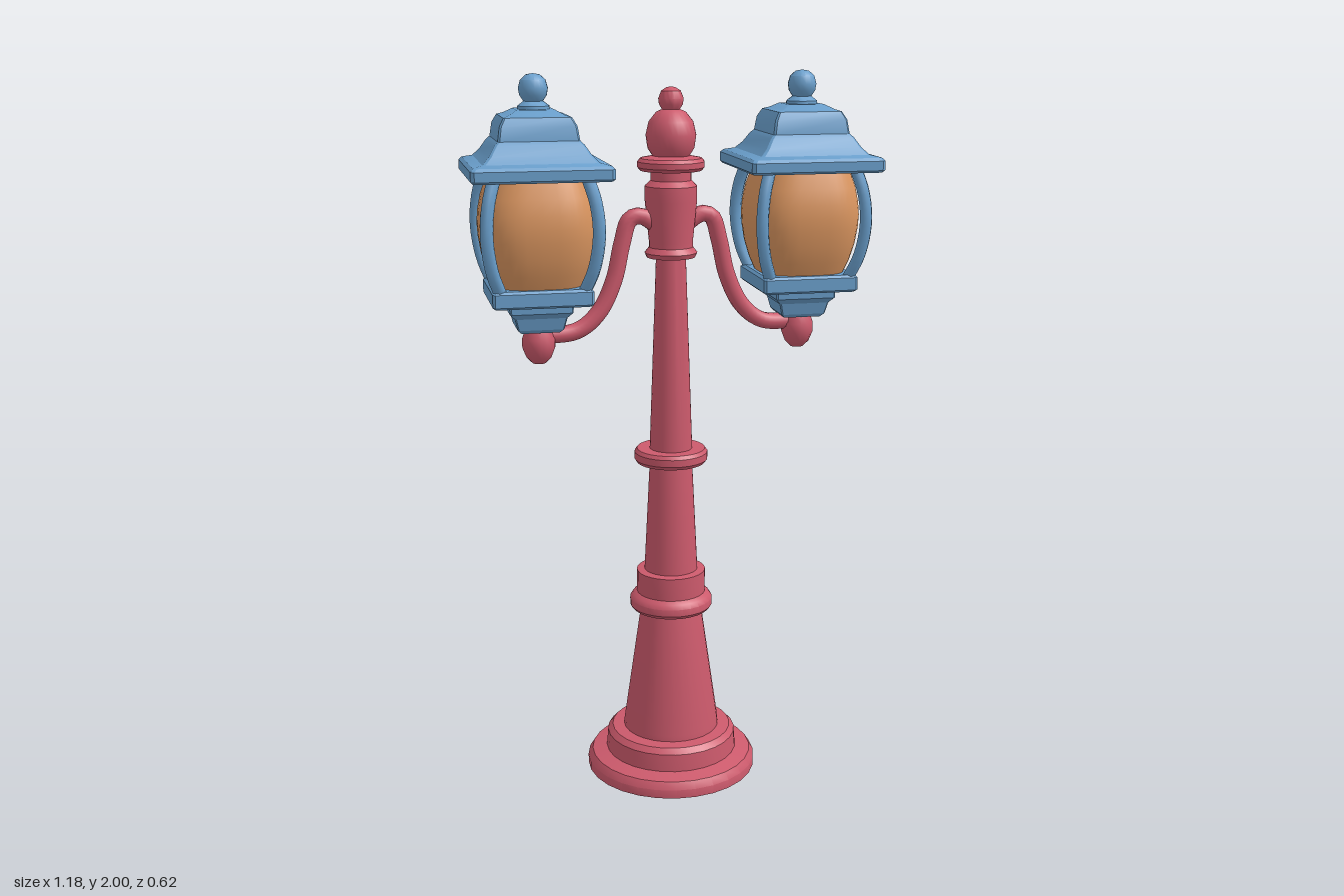
import * as THREE from 'three';
import { toCreasedNormals } from 'three/addons/utils/BufferGeometryUtils.js';

const V2 = (p) => new THREE.Vector2(p[0], p[1]);
const material = (name, color, side = THREE.FrontSide) => {
  const m = new THREE.MeshStandardMaterial({ color, side });
  m.name = name;
  return m;
};

function add(parent, name, geometry, mat) {
  const mesh = new THREE.Mesh(geometry, mat);
  mesh.name = name;
  parent.add(mesh);
  return mesh;
}

const lathe = (profile, segments) =>
  toCreasedNormals(new THREE.LatheGeometry(profile.map(V2), segments), 0.6);

// Stacks copies of a unit ring along a [halfWidth, y] profile, capped at both ends
function loft(ring, profile, crease) {
  const n = ring.length, pos = [], index = [];
  for (const [h, y] of profile) for (const [x, z] of ring) pos.push(x * h, y, z * h);
  const rows = profile.length;
  for (let r = 0; r < rows - 1; r++) {
    for (let i = 0; i < n; i++) {
      const a = r * n + i, b = r * n + (i + 1) % n;
      index.push(a, a + n, b, b, a + n, b + n);
    }
  }
  const last = (rows - 1) * n;
  for (let i = 1; i < n - 1; i++) {
    index.push(0, i, i + 1, last, last + i + 1, last + i);
  }
  const g = new THREE.BufferGeometry();
  g.setAttribute('position', new THREE.Float32BufferAttribute(pos, 3));
  g.setIndex(index);
  return toCreasedNormals(g, crease);
}

// Square with slightly clipped corners
const k = 0.95;
const square = [[1, -k], [1, k], [k, 1], [-k, 1], [-1, k], [-1, -k], [-k, -1], [k, -1]];

// Softly rounded square for the glass
const softSquare = Array.from({ length: 40 }, (_, i) => {
  const a = (i / 40) * Math.PI * 2;
  const c = Math.cos(a), s = Math.sin(a), e = 2 / 3;
  return [Math.sign(c) * Math.abs(c) ** e, Math.sign(s) * Math.abs(s) ** e];
});

export function createModel() {
  const red = material('rose paint', 0xcc5a6c, THREE.DoubleSide);
  const blue = material('blue paint', 0x6a9fcc);
  const amber = material('amber glass', 0xdb9660);
  const model = new THREE.Group();
  model.name = 'streetLamp';

  // Hollow turned post with its stepped foot, rings and top knob
  add(model, 'post', lathe([
    [0.245, 0], [0.245, 0.025], [0.232, 0.045], [0.19, 0.055], [0.186, 0.105], [0.172, 0.12],
    [0.138, 0.123], [0.137, 0.14], [0.087, 0.49], [0.11, 0.49], [0.118, 0.5], [0.118, 0.52],
    [0.11, 0.532], [0.098, 0.54], [0.098, 0.605], [0.076, 0.608], [0.06, 0.927], [0.096, 0.927],
    [0.103, 0.937], [0.103, 0.957], [0.096, 0.967], [0.06, 0.967], [0.041, 1.505], [0.066, 1.507],
    [0.072, 1.52], [0.06, 1.535], [0.06, 1.55], [0.071, 1.66], [0.071, 1.7], [0.055, 1.715],
    [0.055, 1.738], [0.083, 1.741], [0.091, 1.75], [0.091, 1.765], [0.083, 1.774], [0.05, 1.78],
    [0.063, 1.8], [0.068, 1.835], [0.06, 1.87], [0.04, 1.895], [0.024, 1.902], [0.032, 1.915],
    [0.034, 1.93], [0.026, 1.95], [0.012, 1.959], [0, 1.961],
  ], 28), red);

  const armPath = new THREE.CatmullRomCurve3([
    [0.04, 1.595], [0.088, 1.622], [0.117, 1.612], [0.138, 1.55], [0.162, 1.45],
    [0.205, 1.365], [0.265, 1.318], [0.373, 1.31],
  ].map(([x, y]) => new THREE.Vector3(x, y, 0)));

  // One corner rib, bowed outward along the diagonal
  const ribPath = new THREE.CatmullRomCurve3([
    [0.108, 1.44], [0.133, 1.51], [0.145, 1.6], [0.138, 1.68], [0.118, 1.75],
  ].map(([h, y]) => new THREE.Vector3(h, y, h)));
  const ribGeometry = new THREE.TubeGeometry(ribPath, 16, 0.017, 8);

  for (const turn of [0, Math.PI]) {
    const side = new THREE.Group();
    side.name = turn ? 'rightLamp' : 'leftLamp';
    side.rotation.y = turn - 0.216;
    model.add(side);

    // Curved arm and the drop knob under the lantern
    add(side, 'arm', new THREE.TubeGeometry(armPath, 36, 0.023, 10), red);
    const lantern = new THREE.Group();
    lantern.name = 'lantern';
    lantern.position.x = 0.373;
    lantern.rotation.y = -0.088;
    side.add(lantern);
    add(lantern, 'dropKnob', lathe([
      [0, 1.232], [0.018, 1.236], [0.034, 1.252], [0.045, 1.28], [0.045, 1.305],
      [0.036, 1.33], [0, 1.335],
    ], 16), red);

    // Square cup and tray
    add(lantern, 'cup', loft(square, [
      [0.052, 1.328], [0.062, 1.338], [0.07, 1.37], [0.084, 1.385], [0.086, 1.42],
    ], 0.5), blue);
    add(lantern, 'tray', loft(square, [
      [0.126, 1.408], [0.133, 1.414], [0.133, 1.448], [0.126, 1.455],
    ], 0.5), blue);

    // Bulging glass
    add(lantern, 'glass', loft(softSquare, [
      [0.115, 1.45], [0.132, 1.49], [0.145, 1.535], [0.152, 1.58], [0.154, 1.615],
      [0.151, 1.65], [0.143, 1.69], [0.125, 1.74],
    ], 0.8), amber);

    for (let i = 0; i < 4; i++) {
      add(lantern, 'rib', ribGeometry, blue).rotation.y = i * Math.PI / 2;
    }

    // Tiered roof with flared eave
    add(lantern, 'roof', loft(square, [
      [0.178, 1.737], [0.184, 1.743], [0.184, 1.768], [0.176, 1.776], [0.15, 1.782],
      [0.132, 1.8], [0.116, 1.825], [0.106, 1.835], [0.1, 1.872], [0.088, 1.893],
      [0.072, 1.898], [0.05, 1.91],
    ], 0.5), blue);
    add(lantern, 'finial', lathe([
      [0.044, 1.895], [0.042, 1.918], [0.026, 1.93], [0.036, 1.945], [0.039, 1.963],
      [0.033, 1.984], [0.018, 1.997], [0, 2],
    ], 16), blue);
  }
  return model;
}
